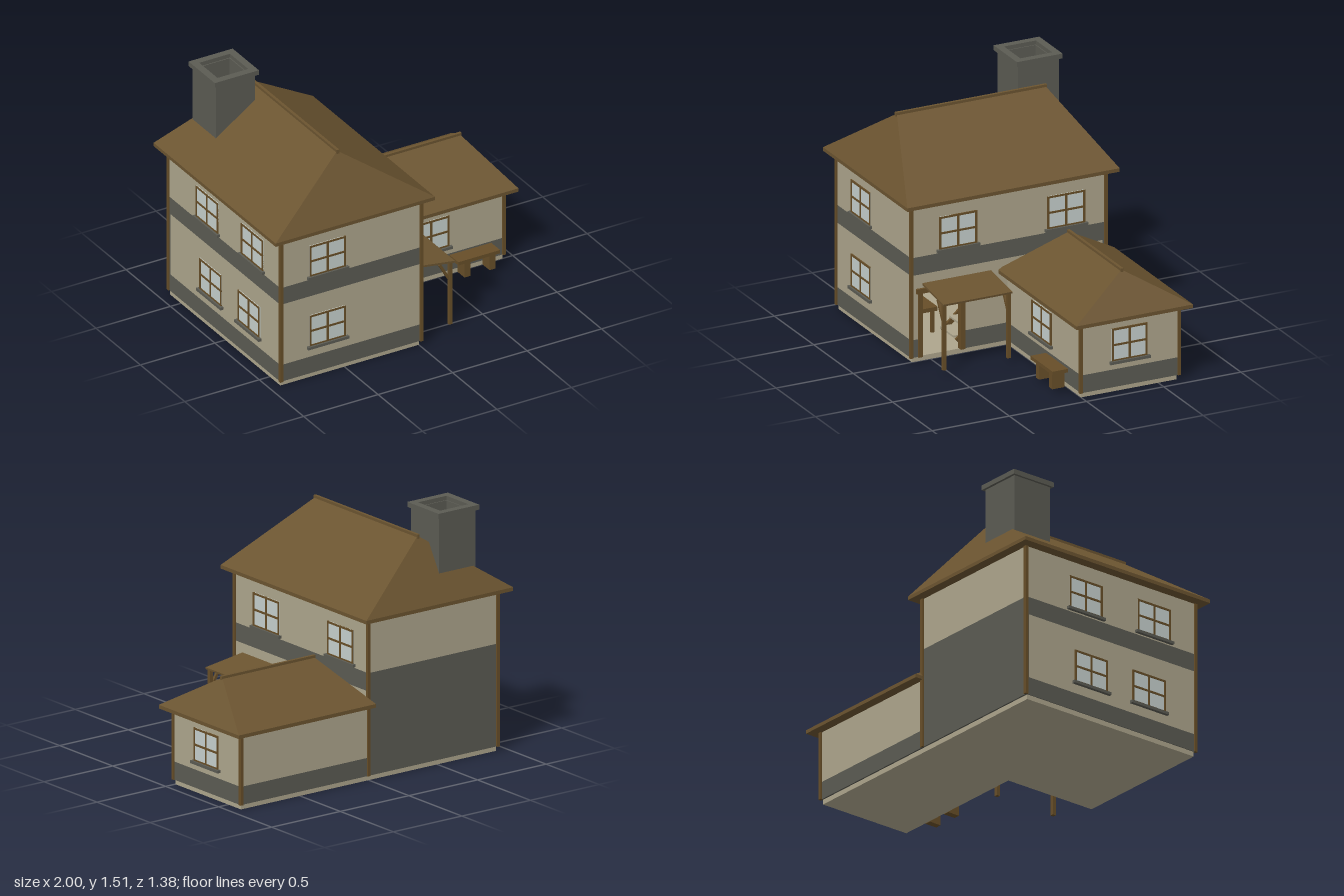
import * as THREE from 'three';
import { ConvexGeometry } from 'three/addons/geometries/ConvexGeometry.js';

const material = (name, color) => {
  const m = new THREE.MeshStandardMaterial({ color });
  m.name = name;
  return m;
};

export function createModel() {
  const plaster = material('plaster', 0xada58c);
  const stone = material('stone', 0x5b5b53);
  const roofing = material('roofing', 0x6b5430);
  const timber = material('timber', 0x674e28);
  const glass = material('glass', 0xc6d0cd);

  const model = new THREE.Group();
  model.name = 'house';

  const add = (name, geometry, mat, parent = model) => {
    const mesh = new THREE.Mesh(geometry, mat);
    mesh.name = name;
    parent.add(mesh);
    return mesh;
  };
  // Box given by its extents along each axis
  const block = (name, mat, [x0, x1], [y0, y1], [z0, z1], parent = model) => {
    const mesh = add(name, new THREE.BoxGeometry(x1 - x0, y1 - y0, z1 - z0), mat, parent);
    mesh.position.set((x0 + x1) / 2, (y0 + y1) / 2, (z0 + z1) / 2);
    return mesh;
  };
  const group = (name) => {
    const g = new THREE.Group();
    g.name = name;
    model.add(g);
    return g;
  };

  // Wall outlines
  const T = 0.02, L = -0.935, R = 0.01, Z = 0.63, E = 0.94, F = 0.005;

  // Foundation, L-shaped
  block('mainFoundation', plaster, [-0.93, 0.0], [0, 0.03], [-0.62, 0.62]);
  block('wingFoundation', plaster, [0.0, 0.93], [0, 0.03], [-0.62, 0]);

  // Walls stacked in layers of stone and plaster
  const layers = [
    ['Plinth', stone, [0.03, 0.14]],
    ['LowerWall', plaster, [0.14, 0.54]],
    ['Band', stone, [0.54, 0.65]],
    ['UpperWall', plaster, [0.65, 0.98]],
  ];
  const door = { z0: 0.3, z1: 0.575, top: 0.44 };
  layers.forEach(([name, mat, y], i) => {
    block('front' + name, mat, [L, R], y, [Z - T, Z]);
    block('back' + name, i < 3 ? stone : mat, [L, R], y, [-Z, -Z + T]);
    block('left' + name, mat, [L, L + T], y, [-Z + T, Z - T]);
    if (i < 2) { // doorway gap in the right wall
      block('right' + name, mat, [R - T, R], y, [-Z + T, door.z0]);
      block('rightCorner' + name, mat, [R - T, R], y, [door.z1, Z - T]);
      const wy = i ? [0.14, 0.47] : y;
      block('wingFront' + name, mat, [R, E], wy, [F - T, F]);
      block('wingBack' + name, mat, [R, E], wy, [-Z, -Z + T]);
      block('wingSide' + name, mat, [E - T, E], wy, [-Z + T, F - T]);
    } else {
      block('right' + name, mat, [R - T, R], y, [-Z + T, Z - T]);
    }
  });
  block('doorHeadWall', plaster, [R - T, R], [door.top, 0.54], [door.z0, door.z1]);

  // Timber corner posts
  const corner = (x, z, top) =>
    block('cornerPost', timber, [x - 0.01, x + 0.01], [0.03, top], [z - 0.01, z + 0.01]);
  for (const x of [L + 0.003, R]) for (const z of [-Z, Z]) corner(x, z, 0.975);
  for (const z of [-Z, F]) corner(E - 0.003, z, 0.465);

  // Hipped roofs with a thin eave edge and ridge cap
  const hipRoof = (name, [x0, x1], [z0, z1], y, lip, ridge) => {
    const points = [...ridge];
    for (const px of [x0, x1]) for (const pz of [z0, z1])
      for (const py of [y, y + lip]) points.push([px, py, pz]);
    add(name, new ConvexGeometry(points.map((p) => new THREE.Vector3(...p))), roofing);
    const [a, b] = ridge;
    block(name + 'Ridge', roofing, [a[0] - 0.009, b[0] + 0.009],
      [a[1] - 0.02, a[1] + 0.01], [a[2] - 0.009, b[2] + 0.009]);
  };
  hipRoof('mainRoof', [-1, 0.07], [-0.69, 0.685], 0.97, 0.022,
    [[-0.465, 1.353, -0.48], [-0.465, 1.353, 0.48]]);
  hipRoof('wingRoof', [0.0, 1], [-0.69, 0.065], 0.455, 0.022,
    [[0.165, 0.702, -0.313], [0.83, 0.702, -0.313]]);

  // Hollow chimney and cap made from four-sided frames
  const frame = (name, x, z, half, thick, y) => {
    for (const s of [-1, 1]) {
      const o = s * (half - thick / 2);
      block(name, stone, [x + o - thick / 2, x + o + thick / 2], y, [z - half, z + half]);
      block(name, stone, [x - half + thick, x + half - thick], y,
        [z + o - thick / 2, z + o + thick / 2]);
    }
  };
  frame('chimneyShaft', -0.66, -0.47, 0.132, 0.035, [0.985, 1.485]);
  frame('chimneyCap', -0.66, -0.47, 0.148, 0.045, [1.48, 1.51]);

  // Windows: glass, frame, cross bars and stone sill, facing +z before turning
  const makeWindow = (x, y, z, turn, w = 0.245, h = 0.205) => {
    const g = group('window');
    const bar = 0.012, d = [-0.028, 0.008];
    block('pane', glass, [-w / 2, w / 2], [-h / 2, h / 2], [-0.024, 0.004], g);
    for (const s of [-1, 0, 1]) {
      const cx = s * (w - bar) / 2, cy = s * (h - bar) / 2;
      block('upright', timber, [cx - bar / 2, cx + bar / 2], [-h / 2, h / 2], d, g);
      block('crossBar', timber, [-w / 2, w / 2], [cy - bar / 2, cy + bar / 2], d, g);
    }
    block('sill', stone, [-w / 2 - 0.015, w / 2 + 0.015], [-h / 2 - 0.013, -h / 2 + 0.004],
      [-0.005, 0.02], g);
    g.position.set(x, y, z);
    g.rotation.y = turn;
  };
  const quarter = Math.PI / 2;
  for (const y of [0.312, 0.773]) makeWindow(-0.621, y, Z, 0);
  for (const z of [-0.19, 0.318]) makeWindow(L, 0.773, z, -quarter);
  for (const z of [-0.15, 0.28]) makeWindow(L, 0.312, z, -quarter);
  for (const z of [-0.372, 0.328]) makeWindow(R, 0.773, z, quarter);
  makeWindow(E, 0.293, -0.308, quarter, 0.23);
  makeWindow(0.447, 0.293, F, 0);

  // Door frame
  for (const z of [0.3, 0.573])
    block('doorJamb', timber, [-0.012, 0.024], [0.03, 0.43], [z - 0.014, z + 0.014]);
  block('doorLintel', timber, [-0.012, 0.026], [0.425, 0.455], [0.28, 0.6]);

  // Porch: lean-to roof, two posts and their braces
  const porchRoof = block('porchRoof', roofing, [0.0, 0.28], [0.453, 0.465], [0.112, 0.557]);
  porchRoof.rotation.z = -Math.atan2(0.04, 0.28);
  for (const z of [0.125, 0.543]) {
    block('porchPost', timber, [0.244, 0.266], [0.03, 0.438], [z - 0.011, z + 0.011]);
    const brace = block('porchBrace', timber, [0.207, 0.223], [0.32, 0.45], [z - 0.008, z + 0.008]);
    brace.rotation.z = 0.52;
  }

  // Bench beside the wing
  block('benchSeat', timber, [0.555, 0.835], [0.128, 0.15], [0.035, 0.135]);
  for (const x of [0.622, 0.79])
    block('benchLeg', timber, [x - 0.02, x + 0.02], [0.03, 0.13], [0.045, 0.125]);

  // Table with a bowl, seen through the doorway
  block('tableTop', timber, [-0.5, -0.28], [0.165, 0.19], [0.31, 0.485]);
  for (const x of [-0.48, -0.3]) for (const z of [0.335, 0.46])
    block('tableLeg', timber, [x - 0.01, x + 0.01], [0.03, 0.17], [z - 0.01, z + 0.01]);
  const bowl = add('bowl', new THREE.CylinderGeometry(0.052, 0.025, 0.03, 12), timber);
  bowl.position.set(-0.39, 0.207, 0.4);

  // Stair rising towards the back of the room
  for (let i = 0; i < 8; i++) {
    const y = 0.08 + i * 0.055, z = 0.28 - i * 0.06;
    block('stairTread', plaster, [-0.25, -0.08], [y - 0.012, y], [z - 0.04, z + 0.03]);
  }
  for (const x of [-0.255, -0.075]) {
    const stringer = block('stairStringer', timber, [x - 0.008, x + 0.008], [0.235, 0.265], [-0.23, 0.37]);
    stringer.rotation.x = Math.atan2(0.055, 0.06);
  }

  return model;
}
